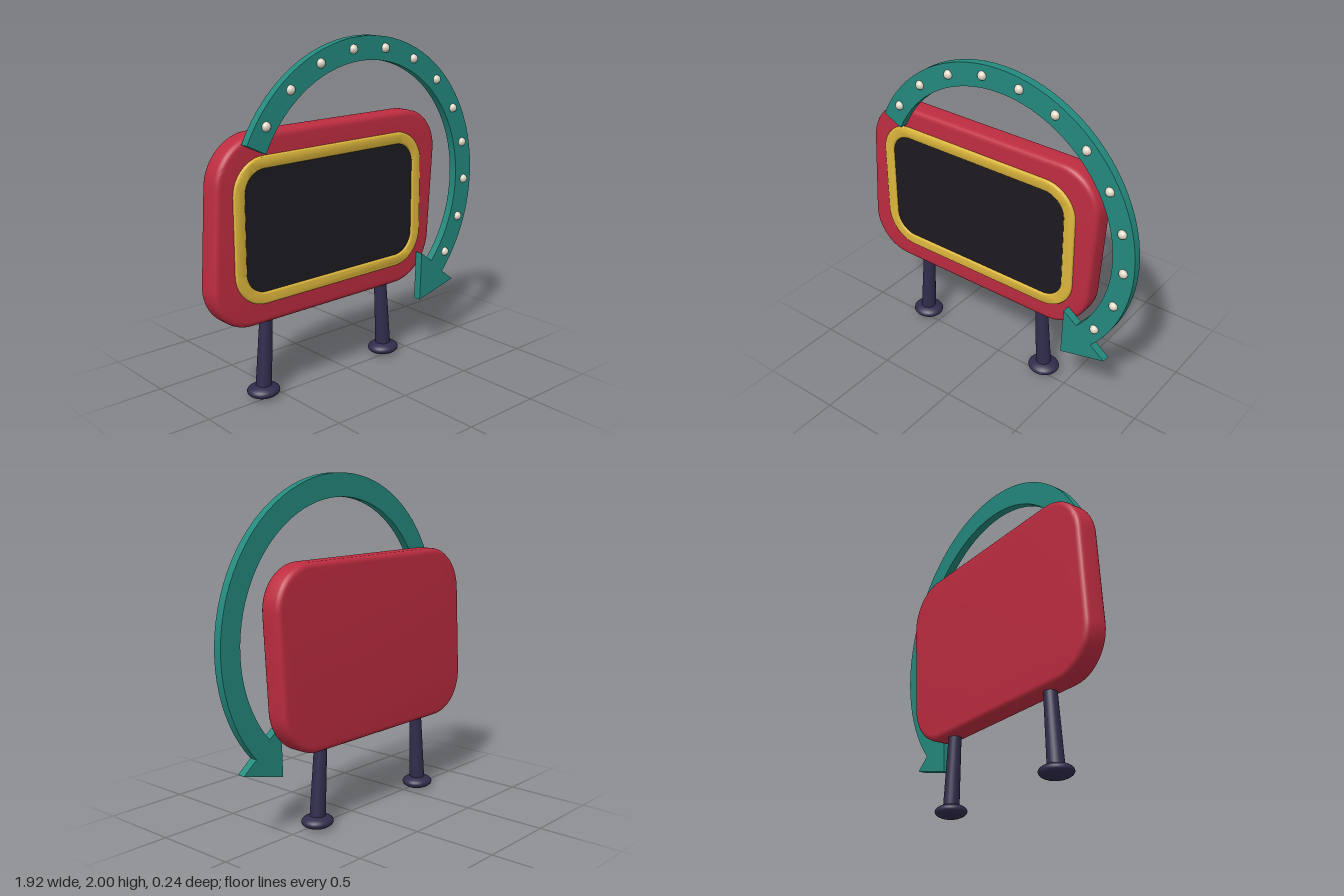
import * as THREE from 'three';
import { toCreasedNormals } from 'three/addons/utils/BufferGeometryUtils.js';

const mat = (color) => new THREE.MeshStandardMaterial({ color });
const RED = mat(0xbd2c40), YELLOW = mat(0xdcb63c), BLACK = mat(0x1c1a20);
const TEAL = mat(0x23897d), NAVY = mat(0x312c4c), CREAM = mat(0xe0d8c8);

// Rounded rectangle, slanted sideways by `slant` from bottom to top
function roundedPanel(path, cx, cy, w, h, r, slant = 0) {
  const P = (x, y) => [cx + x + (slant * y) / h, cy + y];
  const a = w / 2, b = h / 2, k = r * 0.448;
  path.moveTo(...P(-a + r, -b));
  path.lineTo(...P(a - r, -b));
  path.bezierCurveTo(...P(a - k, -b), ...P(a, -b + k), ...P(a, -b + r));
  path.lineTo(...P(a, b - r));
  path.bezierCurveTo(...P(a, b - k), ...P(a - k, b), ...P(a - r, b));
  path.lineTo(...P(-a + r, b));
  path.bezierCurveTo(...P(-a + k, b), ...P(-a, b - k), ...P(-a, b - r));
  path.lineTo(...P(-a, -b + r));
  path.bezierCurveTo(...P(-a, -b + k), ...P(-a + k, -b), ...P(-a + r, -b));
  return path;
}

// Extrude a shape between two z values, bevel kept inside the outline
function slab(shape, z0, z1, bevel = 0) {
  const geo = new THREE.ExtrudeGeometry(shape, {
    depth: z1 - z0 - 2 * bevel, curveSegments: 16, bevelEnabled: bevel > 0,
    bevelSize: bevel, bevelThickness: bevel, bevelOffset: -bevel, bevelSegments: 4,
  });
  geo.translate(0, 0, z0 + bevel);
  return toCreasedNormals(geo, 0.6);
}

export function createModel() {
  const model = new THREE.Group();
  model.name = 'arrowSign';
  const add = (name, geo, material, x = 0, y = 0, z = 0) => {
    const mesh = new THREE.Mesh(geo, material);
    mesh.name = name;
    mesh.position.set(x, y, z);
    model.add(mesh);
    return mesh;
  };

  // Board, frame and screen
  const cx = -0.138, cy = 1.002;
  add('board', slab(roundedPanel(new THREE.Shape(), cx, cy, 1.608, 1.065, 0.265, 0.067), -0.1, 0.04, 0.03), RED);
  const frame = roundedPanel(new THREE.Shape(), cx, cy, 1.375, 0.825, 0.2);
  frame.holes.push(roundedPanel(new THREE.Path(), cx, cy, 1.233, 0.687, 0.13));
  add('frame', slab(frame, 0.01, 0.056, 0.012), YELLOW);
  add('screen', slab(roundedPanel(new THREE.Shape(), cx, cy, 1.26, 0.714, 0.14), 0.01, 0.045), BLACK);

  // Curved arrow: arc band running clockwise into a triangular head
  const ax = 0.05, ay = 1.092, rOut = 0.908, rIn = 0.773;
  const start = THREE.MathUtils.degToRad(154), end = THREE.MathUtils.degToRad(-42.2);
  const points = [], steps = 48;
  const arc = (r, from, to) => {
    for (let i = 0; i <= steps; i++) {
      const t = from + ((to - from) * i) / steps;
      points.push(new THREE.Vector2(ax + r * Math.cos(t), ay + r * Math.sin(t)));
    }
  };
  arc(rOut, start, end);
  points.push(new THREE.Vector2(0.815, 0.41), new THREE.Vector2(0.524, 0.336), new THREE.Vector2(0.534, 0.638));
  arc(rIn, end, start);
  add('arrow', slab(new THREE.Shape(points), 0.045, 0.094), TEAL);

  // Light bulbs along the arrow
  const bulb = new THREE.SphereGeometry(0.027, 20, 14);
  for (let i = 0; i < 12; i++) {
    const t = THREE.MathUtils.degToRad(145 - (180 * i) / 11);
    add('bulb', bulb, CREAM, ax + 0.844 * Math.cos(t), ay + 0.844 * Math.sin(t), 0.092);
  }

  // Splayed legs with flattened round feet
  const up = new THREE.Vector3(0, 1, 0);
  for (const [footX, topX] of [[-0.607, -0.573], [0.328, 0.294]]) {
    const foot = new THREE.Vector3(footX, 0.04, -0.03), top = new THREE.Vector3(topX, 0.55, -0.03);
    const dir = top.clone().sub(foot);
    const leg = add('leg', new THREE.CylinderGeometry(0.036, 0.047, dir.length(), 24), NAVY);
    leg.position.copy(foot).add(top).multiplyScalar(0.5);
    leg.quaternion.setFromUnitVectors(up, dir.normalize());
    add('foot', new THREE.SphereGeometry(1, 28, 18).scale(0.097, 0.04, 0.09), NAVY, footX, 0.04, -0.03);
  }
  return model;
}
